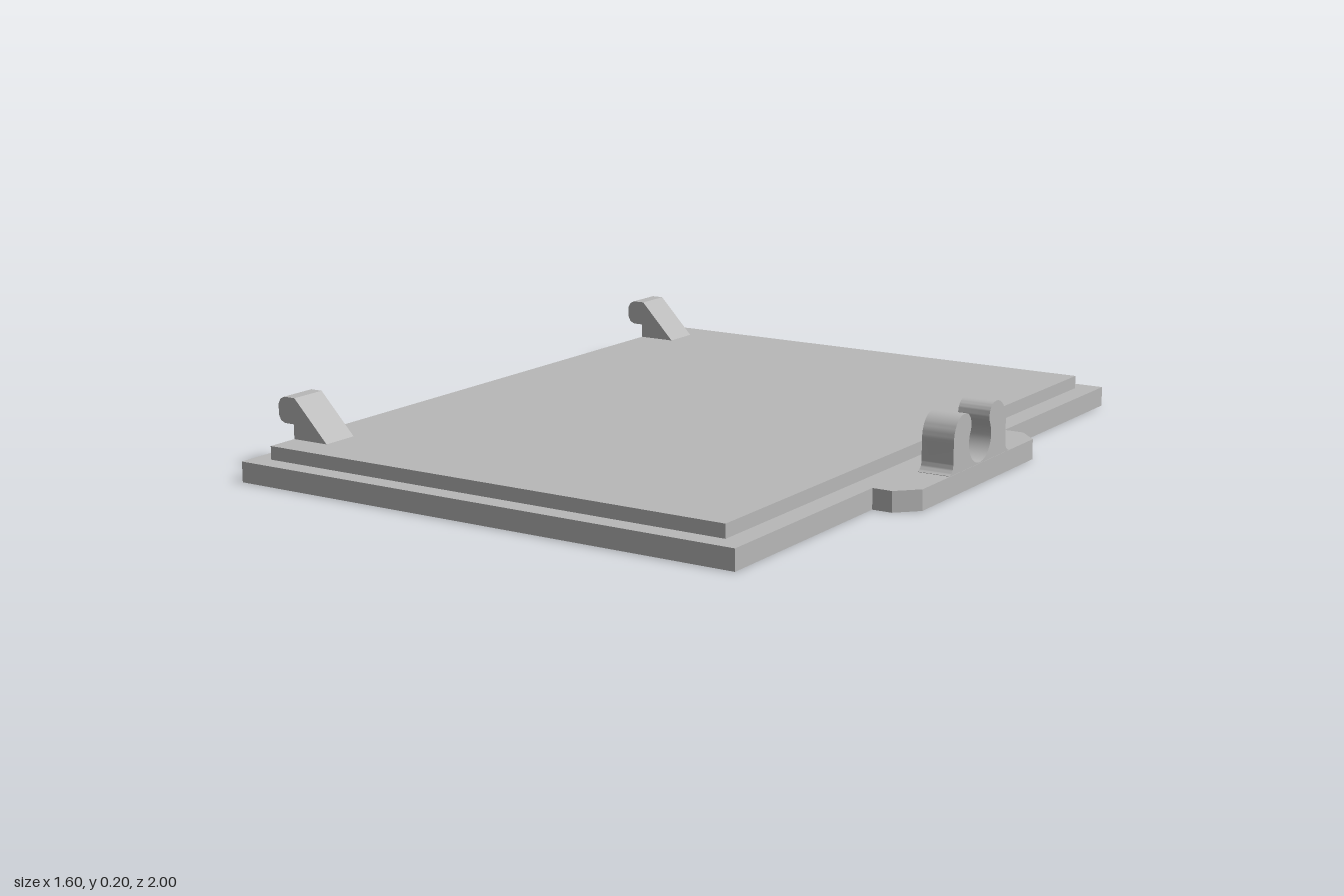
import * as THREE from 'three';
import { toCreasedNormals } from 'three/addons/utils/BufferGeometryUtils.js';

export function createModel() {
  const group = new THREE.Group();
  const grey = new THREE.MeshStandardMaterial({ color: 0xb8b8b8 });
  grey.name = 'plain grey';

  const add = (name, geometry) => {
    const mesh = new THREE.Mesh(geometry, grey);
    mesh.name = name;
    group.add(mesh);
    return mesh;
  };
  const polygon = (points) => new THREE.Shape(points.map(([x, y]) => new THREE.Vector2(x, y)));
  const extrude = (shape, depth) =>
    new THREE.ExtrudeGeometry(shape, { depth, bevelEnabled: false, curveSegments: 14 });

  // Base plate with a chamfered tab on the +x edge
  const plate = polygon([
    [-0.8, -1], [0.69, -1], [0.69, -0.365], [0.745, -0.365], [0.8, -0.31],
    [0.8, 0.31], [0.745, 0.365], [0.69, 0.365], [0.69, 1], [-0.8, 1],
  ]);
  add('basePlate', extrude(plate, 0.055).rotateX(-Math.PI / 2));

  // Raised inner panel
  add('raisedPanel', new THREE.BoxGeometry(1.38, 0.037, 1.89).translate(-0.06, 0.0725, 0));

  // Two hooks that overhang the -x edge
  const hook = polygon([
    [-0.75, 0.08], [-0.63, 0.08], [-0.745, 0.2], [-0.78, 0.2], [-0.793, 0.193],
    [-0.8, 0.18], [-0.8, 0.15], [-0.793, 0.136], [-0.78, 0.13], [-0.75, 0.13],
  ]);
  for (const [name, z] of [['frontHook', 0.802], ['backHook', -0.802]]) {
    add(name, extrude(hook, 0.106).translate(0, 0, z - 0.053));
  }

  // Snap clip: two rounded prongs around a round seat, standing on the tab
  const clip = new THREE.Shape();
  clip.moveTo(-0.165, 0.05);
  clip.lineTo(0.165, 0.05);
  clip.lineTo(0.165, 0.056);
  clip.quadraticCurveTo(0.146, 0.062, 0.146, 0.085);
  clip.lineTo(0.146, 0.135);
  clip.bezierCurveTo(0.146, 0.172, 0.124, 0.202, 0.088, 0.202);
  clip.bezierCurveTo(0.056, 0.202, 0.044, 0.172, 0.054, 0.151);
  const a = Math.atan2(0.031, 0.054);
  clip.absarc(0, 0.12, 0.0623, a, -Math.PI - a, true);
  clip.bezierCurveTo(-0.044, 0.172, -0.056, 0.202, -0.088, 0.202);
  clip.bezierCurveTo(-0.124, 0.202, -0.146, 0.172, -0.146, 0.135);
  clip.lineTo(-0.146, 0.085);
  clip.quadraticCurveTo(-0.146, 0.062, -0.165, 0.056);
  clip.closePath();
  const clipGeometry = extrude(clip, 0.09).rotateY(Math.PI / 2).translate(0.709, 0, 0);
  add('snapClip', toCreasedNormals(clipGeometry, 0.6));

  return group;
}
